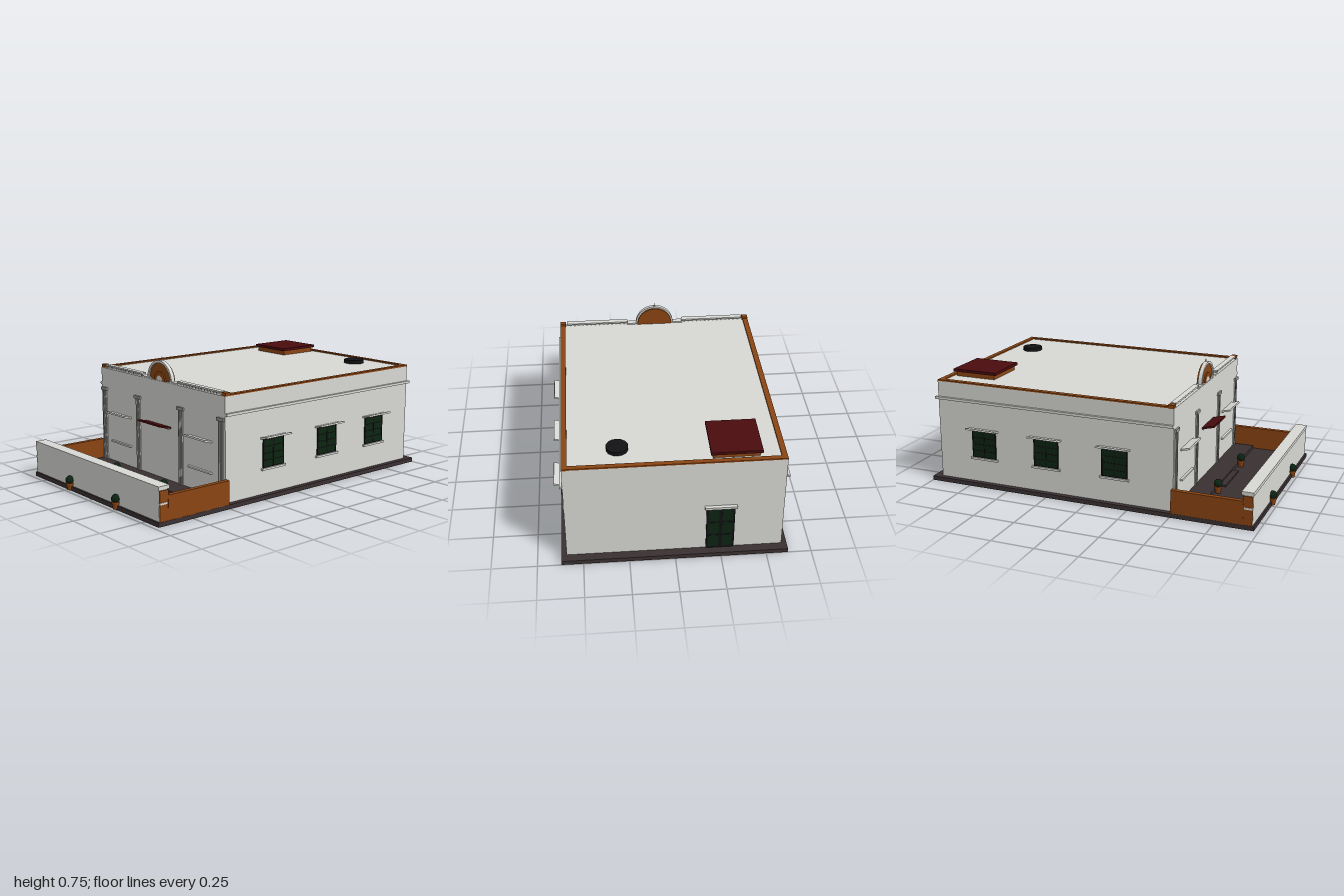
import * as THREE from 'three';

const mat = (name, color) => {
  const m = new THREE.MeshStandardMaterial({ color });
  m.name = name;
  return m;
};

export function createModel() {
  const model = new THREE.Group();
  model.name = 'house';
  const plaster = mat('pale plaster', 0xd8d8d5);
  const stone = mat('grey stone', 0x999997);
  const clay = mat('terracotta', 0x8b4513);
  const maroon = mat('maroon', 0x4a0c0e);
  const paving = mat('dark paving', 0x3a3032);
  const green = mat('dark green', 0x0d2412);
  const black = mat('black', 0x121214);

  const add = (name, geo, material, x = 0, y = 0, z = 0, parent = model) => {
    const mesh = new THREE.Mesh(geo, material);
    mesh.name = name;
    mesh.position.set(x, y, z);
    parent.add(mesh);
    return mesh;
  };
  // box given by its limits on each axis
  const box = (name, material, x0, x1, y0, y1, z0, z1, parent = model) =>
    add(name, new THREE.BoxGeometry(x1 - x0, y1 - y0, z1 - z0), material,
      (x0 + x1) / 2, (y0 + y1) / 2, (z0 + z1) / 2, parent);

  // ground slab, main block and porch
  box('groundSlab', paving, -0.62, 0.62, 0, 0.025, -1, 0.975);
  box('mainBlock', plaster, -0.59, 0.59, 0.025, 0.612, -0.95, 0.51);
  box('porch', paving, -0.58, 0.58, 0.025, 0.045, 0.51, 0.635);
  box('porchStep', paving, -0.13, 0.13, 0.025, 0.035, 0.635, 0.67);

  // roof kerb
  for (const s of [-1, 1]) {
    box('sideKerb', clay, s * 0.575 - 0.015, s * 0.575 + 0.015, 0.61, 0.62, -0.95, 0.5);
    box('cornerPost', clay, s * 0.573 - 0.017, s * 0.573 + 0.017, 0.61, 0.631, 0.475, 0.508);
    box('sideMoulding', plaster, s * 0.597 - 0.007, s * 0.597 + 0.007, 0.505, 0.52, -0.965, 0.51);
    // front balustrade
    box('balustradeRail', plaster, s * 0.36 - 0.19, s * 0.36 + 0.19, 0.624, 0.633, 0.475, 0.508);
    for (let i = 0; i < 14; i++) {
      const x = s * (0.19 + i * 0.026);
      box('baluster', plaster, x - 0.004, x + 0.004, 0.612, 0.624, 0.486, 0.496);
    }
    box('gableFoot', plaster, s * 0.13 - 0.043, s * 0.13 + 0.043, 0.612, 0.62, 0.475, 0.508);
  }
  box('backKerb', clay, -0.59, 0.59, 0.61, 0.62, -0.95, -0.922);

  // arched gable
  const arch = (name, material, outer, inner, z0, z1) => {
    const shape = new THREE.Shape();
    shape.absarc(0, 0, outer, 0, Math.PI, false);
    if (inner) shape.absarc(0, 0, inner, Math.PI, 0, true);
    const geo = new THREE.ExtrudeGeometry(shape, { depth: z1 - z0, bevelEnabled: false, curveSegments: 24 });
    add(name, geo, material, 0, 0.612, z0);
  };
  arch('gablePanel', clay, 0.106, 0, 0.472, 0.497);
  arch('gableRim', plaster, 0.116, 0.102, 0.482, 0.505);
  arch('gableInnerRing', clay, 0.052, 0.028, 0.497, 0.505);
  arch('gableCentre', plaster, 0.028, 0, 0.497, 0.505);
  add('gableSpike', new THREE.ConeGeometry(0.006, 0.026, 8), stone, 0, 0.738, 0.49);

  // roof hatch and vent
  box('hatchBase', clay, -0.45, -0.2, 0.61, 0.64, -0.905, -0.655);
  box('hatchLid', maroon, -0.462, -0.188, 0.64, 0.656, -0.92, -0.64);
  add('roofVent', new THREE.CylinderGeometry(0.06, 0.06, 0.023, 14), black, 0.295, 0.6225, -0.79);

  // fluted pilasters
  for (const x of [-0.555, -0.205, 0.205, 0.555]) {
    box('pilasterShaft', plaster, x - 0.02, x + 0.02, 0.045, 0.475, 0.505, 0.514);
    for (const d of [-0.014, 0, 0.014])
      box('flute', stone, x + d - 0.003, x + d + 0.003, 0.045, 0.475, 0.51, 0.517);
    box('capital', stone, x - 0.029, x + 0.029, 0.475, 0.493, 0.505, 0.522);
  }

  // slab canopy sloping up away from the wall; its local +z points outward
  const canopy = (name, material, width, depth, parent) => {
    const c = add(name, new THREE.BoxGeometry(width, 0.01, depth), material, 0, 0.351, depth / 2 - 0.002, parent);
    c.rotation.x = -0.24;
    return c;
  };

  // front canopies and sills
  for (const x of [-0.38, 0.38]) {
    const bay = new THREE.Group();
    bay.name = 'frontBay';
    bay.position.set(x, 0, 0.51);
    model.add(bay);
    canopy('frontCanopy', plaster, 0.2, 0.055, bay);
    box('frontSill', plaster, -0.1, 0.1, 0.165, 0.175, 0, 0.014, bay);
  }
  const entrance = new THREE.Group();
  entrance.name = 'entrance';
  entrance.position.set(0, 0.014, 0.51);
  model.add(entrance);
  canopy('entranceAwning', maroon, 0.22, 0.078, entrance);
  box('awningTrim', plaster, -0.1, 0.1, 0.332, 0.336, 0, 0.01, entrance);

  // side windows
  for (const s of [-1, 1]) for (const z of [0.165, -0.255, -0.655]) {
    const w = new THREE.Group();
    w.name = 'sideWindow';
    w.position.set(s * 0.59, 0, z);
    w.rotation.y = s * Math.PI / 2;
    model.add(w);
    box('pane', green, -0.076, 0.076, 0.175, 0.337, 0, 0.005, w);
    for (const x of [-0.074, 0, 0.074]) box('windowUpright', black, x - 0.003, x + 0.003, 0.175, 0.337, 0, 0.007, w);
    for (let i = 0; i < 5; i++) {
      const y = 0.178 + i * 0.039;
      box('windowBar', black, -0.076, 0.076, y - 0.002, y + 0.002, 0, 0.007, w);
    }
    box('windowSill', plaster, -0.088, 0.088, 0.163, 0.175, 0, 0.014, w);
    canopy('windowCanopy', plaster, 0.188, 0.056, w);
  }

  // back door
  const door = new THREE.Group();
  door.name = 'backDoor';
  door.position.set(-0.247, 0, -0.95);
  door.rotation.y = Math.PI;
  model.add(door);
  box('doorFrame', black, -0.077, 0.077, 0.026, 0.305, 0, 0.007, door);
  for (const x of [-0.037, 0.037]) for (const y of [0.04, 0.13, 0.22])
    box('doorPanel', green, x - 0.028, x + 0.028, y, y + 0.078, 0.005, 0.009, door);
  box('doorLintel', plaster, -0.087, 0.087, 0.308, 0.322, 0, 0.02, door);

  // courtyard walls
  box('frontWall', plaster, -0.612, 0.612, 0.025, 0.195, 0.91, 0.965);
  box('frontWallCap', plaster, -0.615, 0.615, 0.193, 0.213, 0.9, 0.968);
  for (const s of [-1, 1]) {
    box('sideWall', clay, s * 0.605 - 0.014, s * 0.605 + 0.014, 0.025, 0.16, 0.505, 0.912);
    box('wallEnd', clay, s * 0.613 - 0.005, s * 0.613 + 0.005, 0.025, 0.19, 0.91, 0.964);
    box('wallEndBand', plaster, s * 0.615 - 0.005, s * 0.615 + 0.005, 0.115, 0.126, 0.918, 0.966);
  }

  // potted shrubs
  for (const x of [-0.232, 0.232]) for (const [y, z] of [[0.004, 0.975], [0.025, 0.655]]) {
    const plant = new THREE.Group();
    plant.name = 'pottedShrub';
    plant.position.set(x, y, z);
    model.add(plant);
    add('pot', new THREE.CylinderGeometry(0.021, 0.015, 0.036, 12), clay, 0, 0.018, 0, plant);
    add('potRim', new THREE.CylinderGeometry(0.024, 0.024, 0.008, 12), clay, 0, 0.038, 0, plant);
    add('shrub', new THREE.IcosahedronGeometry(0.025, 1), green, 0, 0.058, 0, plant);
  }
  return model;
}
